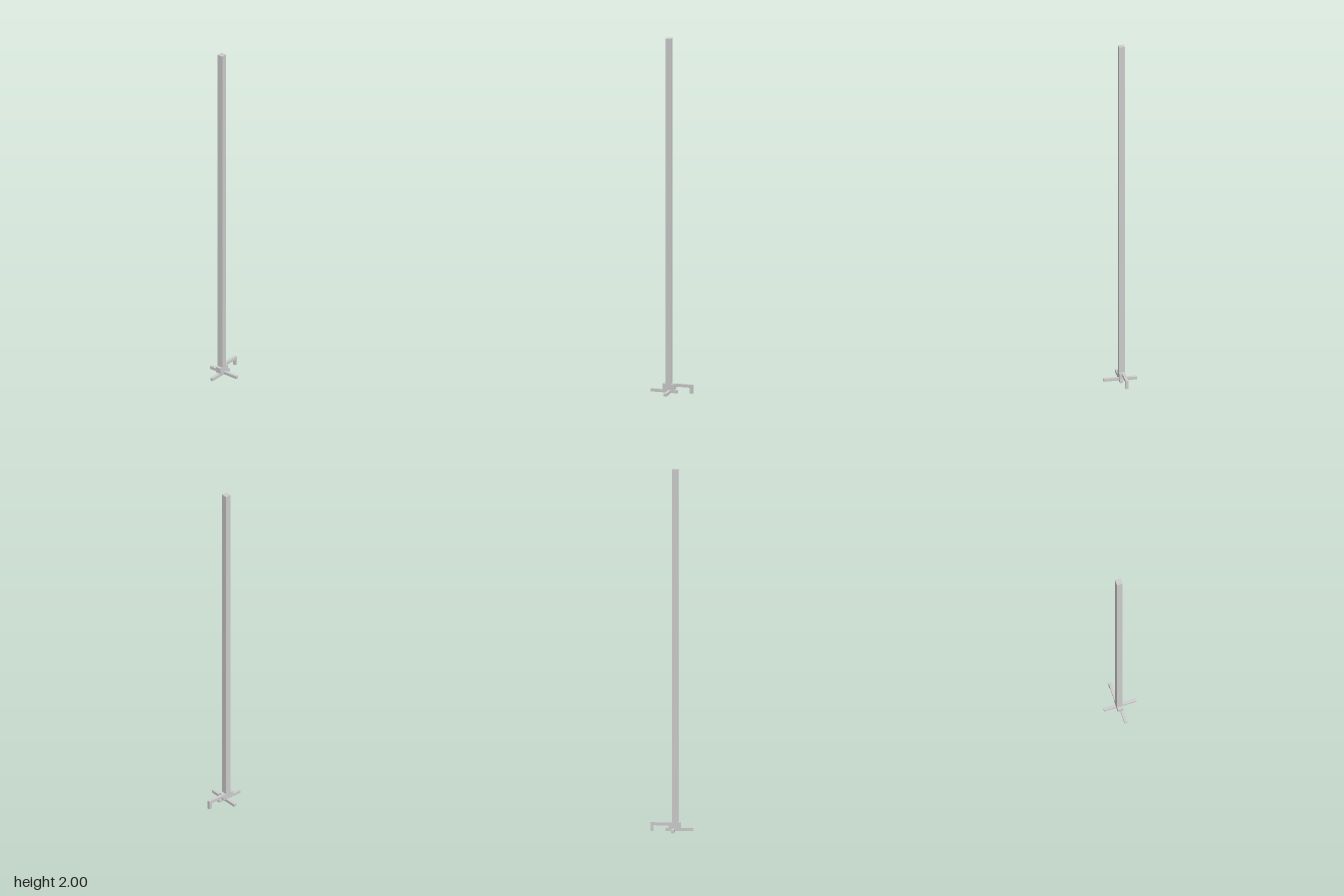
import * as THREE from 'three';

const material = new THREE.MeshStandardMaterial({ color: 0xcccccc, flatShading: true });

// Box given by its lower and upper limits on each axis
function slab(name, [x0, x1], [y0, y1], [z0, z1]) {
  const geometry = new THREE.BoxGeometry(x1 - x0, y1 - y0, z1 - z0);
  geometry.translate((x0 + x1) / 2, (y0 + y1) / 2, (z0 + z1) / 2);
  const mesh = new THREE.Mesh(geometry, material);
  mesh.name = name;
  return mesh;
}

export function createModel() {
  const model = new THREE.Group();
  model.name = 'postOnStand';
  const t = 0.0165; // bar thickness

  // Tall square post and the block that holds it
  const column = [-0.025, 0.0075];
  model.add(slab('post', column, [3 * t, 2], [0, 0.0325]));
  model.add(slab('baseBlock', column, [t, 3 * t], [-0.018, 0.0485]));

  // Floor cross: one bar side to side, one bar front to back cut around it
  const footX = [-0.009, 0.0075];
  model.add(slab('sideFoot', [-0.0925, 0.0925], [0, t], [0, t]));
  model.add(slab('frontFoot', footX, [0, t], [t, 0.1165]));
  model.add(slab('backFoot', footX, [0, t], [-0.035, 0]));

  // Raised rear arm with a leg dropping to the floor
  const armX = [-0.025, -0.009];
  model.add(slab('rearArm', armX, [2 * t, 3 * t], [-0.118, -0.018]));
  model.add(slab('rearLeg', armX, [0, 2 * t], [-0.118, -0.1015]));

  return model;
}
